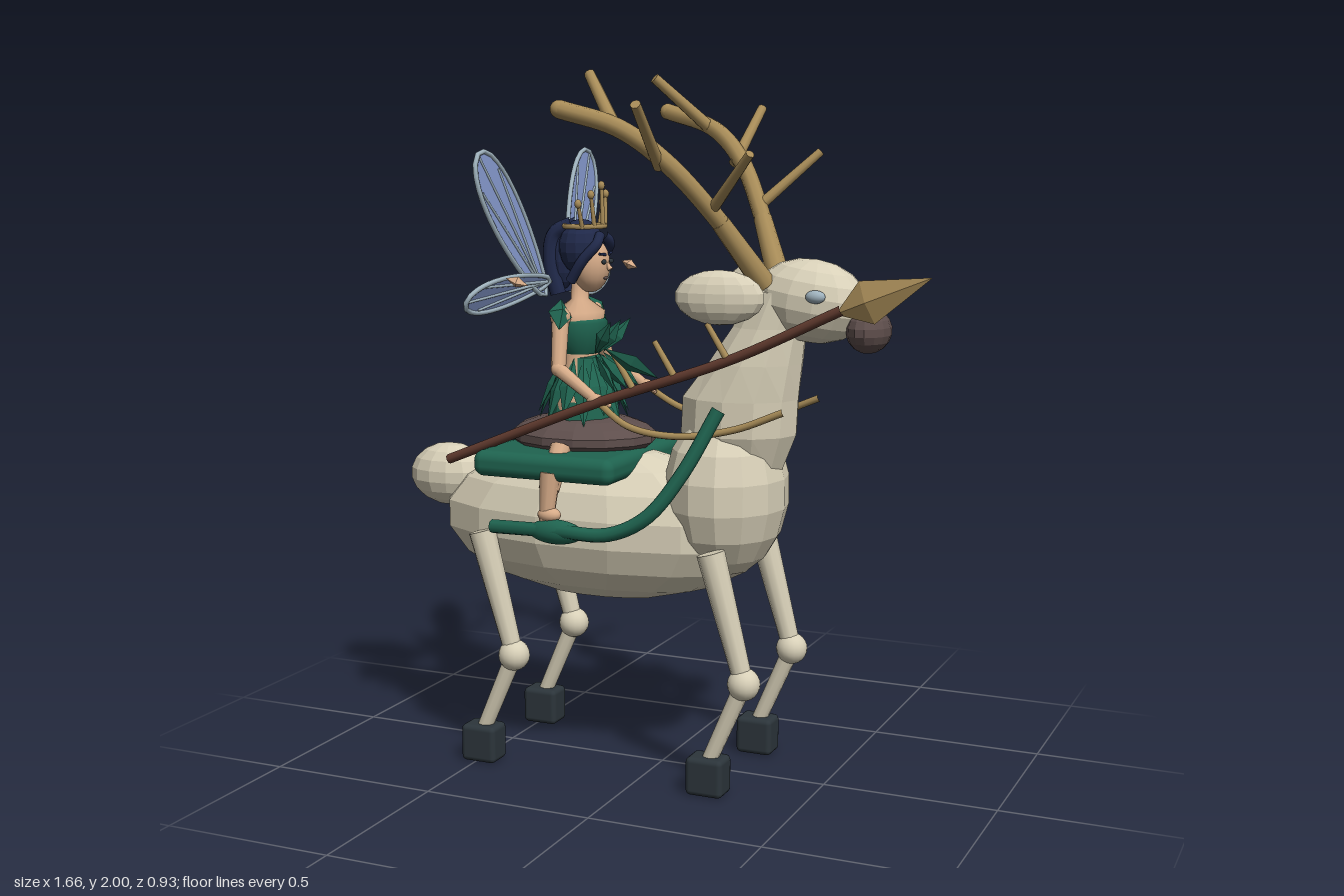
import * as THREE from 'three';
import { RoundedBoxGeometry } from 'three/addons/geometries/RoundedBoxGeometry.js';

const V = (x, y, z = 0) => new THREE.Vector3(x, y, z);
const mat = (name, color) => Object.assign(new THREE.MeshStandardMaterial({ color }), { name });

export function createModel() {
  const root = new THREE.Group();
  root.name = 'fairyOnStag';
  const cream = mat('creamFur', 0xd8d0b8), antler = mat('antlerGold', 0xa88c58);
  const brown = mat('spearWood', 0x603a2e), dusk = mat('duskBrown', 0x5e4e4c);
  const green = mat('leafGreen', 0x1f6450), hoof = mat('hoofSlate', 0x2c353b);
  const navy = mat('hairNavy', 0x20294a), skin = mat('skin', 0xd6ab88);
  const wing = mat('wingBlue', 0x8498cc), pale = mat('paleBlueGrey', 0x9fb2bd);
  wing.side = THREE.DoubleSide;

  const flat = (geo) => {
    const g = geo.index ? geo.toNonIndexed() : geo;
    g.computeVertexNormals();
    return g;
  };
  const add = (name, geo, m, pos = V(0, 0, 0), parent = root) => {
    const mesh = new THREE.Mesh(geo, m);
    mesh.name = name;
    mesh.position.copy(pos);
    parent.add(mesh);
    return mesh;
  };
  // Faceted or smooth ellipsoid
  const blob = (name, m, pos, r, faceted = true, parent = root) => {
    const g = new THREE.SphereGeometry(1, faceted ? 14 : 18, faceted ? 9 : 12).scale(...r);
    return add(name, faceted ? flat(g) : g, m, pos, parent);
  };
  // Straight round bar between two points
  const stick = (name, m, a, b, r1, r2 = r1, parent = root, sides = 10) => {
    const d = b.clone().sub(a);
    const mesh = add(name, new THREE.CylinderGeometry(r2, r1, d.length(), sides), m, a.clone().lerp(b, 0.5), parent);
    mesh.quaternion.setFromUnitVectors(V(0, 1, 0), d.normalize());
    return mesh;
  };
  // Flat pointed leaf between two points
  const leaf = (name, m, a, b, w, t = 0.008, parent = root) => {
    const d = b.clone().sub(a);
    const g = flat(new THREE.OctahedronGeometry(1).scale(w, d.length() / 2, t));
    const mesh = add(name, g, m, a.clone().lerp(b, 0.5), parent);
    mesh.quaternion.setFromUnitVectors(V(0, 1, 0), d.normalize());
    return mesh;
  };
  const tube = (name, m, pts, r, closed = false) =>
    add(name, new THREE.TubeGeometry(new THREE.CatmullRomCurve3(pts, closed), 32, r, 8, closed), m);
  const lathe = (pts, n) => new THREE.LatheGeometry(pts.map(([r, y]) => new THREE.Vector2(r, y)), n);

  // Stag trunk
  blob('body', cream, V(-0.19, 0.71), [0.52, 0.225, 0.22]);
  blob('chest', cream, V(0.2, 0.83), [0.175, 0.245, 0.2]);
  blob('tail', cream, V(-0.7, 0.81), [0.13, 0.095, 0.085]);

  // Neck: stacked rings leaning forward [y, centre x, radius x, radius z]
  const rings = [[0.86, 0.24, 0.01, 0.01], [0.9, 0.235, 0.13, 0.1], [1.0, 0.235, 0.17, 0.14], [1.1, 0.24, 0.17, 0.14],
    [1.2, 0.285, 0.135, 0.125], [1.3, 0.325, 0.105, 0.1], [1.4, 0.36, 0.09, 0.085], [1.43, 0.37, 0.01, 0.01]];
  const neck = lathe(rings.map((r) => [1, r[0]]), 12);
  const p = neck.attributes.position;
  for (let i = 0; i < p.count; i++) {
    const [, cx, rx, rz] = rings[i % rings.length];
    p.setX(i, cx + p.getX(i) * rx);
    p.setZ(i, p.getZ(i) * rz);
  }
  add('neck', flat(neck), cream);

  // Head
  blob('head', cream, V(0.445, 1.375), [0.165, 0.115, 0.105]).rotation.z = -0.15;
  blob('nose', dusk, V(0.61, 1.3), [0.06, 0.062, 0.09]);

  for (const s of [1, -1]) {
    const W = (x, y, z) => V(x, y, z * s);
    blob('stagEye', pale, W(0.49, 1.395, 0.1), [0.028, 0.018, 0.018], false);
    blob('stagEar', cream, W(0.24, 1.39, 0.165), [0.125, 0.075, 0.05]).rotation.y = s * 0.15;

    // Antler beam with three tines
    const beam = [W(0.33, 1.42, 0.06), W(0.24, 1.59, 0.16), W(0.13, 1.75, 0.27), W(0.02, 1.84, 0.33), W(-0.14, 1.89, 0.36)];
    tube('antlerBeam', antler, beam, 0.025);
    stick('antlerBase', antler, beam[0], beam[1], 0.033, 0.026);
    blob('antlerTip', antler, beam[4], [0.024, 0.024, 0.024], false);
    stick('antlerTine', antler, W(0.22, 1.62, 0.18), W(0.37, 1.775, 0.28), 0.016, 0.012);
    stick('antlerTine', antler, W(0.11, 1.74, 0.27), W(0.125, 1.9, 0.455), 0.017, 0.014);
    stick('antlerTine', antler, W(0.01, 1.84, 0.33), W(-0.12, 1.985, 0.215), 0.019, 0.015);

    // Legs
    for (const x of [-0.385, 0.33]) {
      const z = 0.195;
      stick('upperLeg', cream, W(x, 0.33, z), W(x - 0.1, 0.69, z), 0.027, 0.04);
      blob('knee', cream, W(x, 0.33, z), [0.046, 0.046, 0.046], false);
      stick('lowerLeg', cream, W(x - 0.105, 0.09, z), W(x, 0.33, z), 0.022, 0.025);
      add('hoof', new RoundedBoxGeometry(0.11, 0.11, 0.085, 2, 0.015), hoof, W(x - 0.105, 0.056, z));
    }

    // Harness, stirrup and rein
    tube('harness', green, [W(-0.42, 0.72, 0.25), W(-0.2, 0.73, 0.275), W(-0.04, 0.735, 0.28), W(0.07, 0.79, 0.27),
      W(0.16, 0.91, 0.235), W(0.245, 1.085, 0.18)], 0.02);
    blob('stirrup', green, W(-0.21, 0.725, 0.265), [0.085, 0.035, 0.03], false);
    tube('rein', antler, [W(-0.13, 1.09, 0.17), W(-0.02, 1.025, 0.19), W(0.12, 1.005, 0.18), W(0.28, 1.03, 0.16),
      W(0.42, 1.085, 0.15)], 0.01);

    // Rider limbs
    stick('riderLeg', skin, W(-0.24, 0.95, 0.17), W(-0.24, 0.84, 0.245), 0.03);
    stick('riderShin', skin, W(-0.235, 0.89, 0.245), W(-0.245, 0.74, 0.255), 0.03, 0.02);
    blob('riderAnkle', skin, W(-0.235, 0.77, 0.255), [0.035, 0.022, 0.025], false);
    const shoulder = W(-0.27, 1.31, 0.105), elbow = W(-0.25, 1.17, 0.16), hand = W(-0.13, 1.09, 0.17);
    blob('shoulder', skin, shoulder, [0.03, 0.03, 0.03], false);
    stick('upperArm', skin, shoulder, elbow, 0.025, 0.021);
    blob('elbow', skin, elbow, [0.022, 0.022, 0.022], false);
    stick('forearm', skin, elbow, hand, 0.021, 0.015);
    blob('hand', skin, hand, [0.027, 0.018, 0.018], false);
    for (const i of [-1, 0, 1]) stick('finger', skin, hand, W(-0.09, 1.085 + i * 0.012, 0.165 + i * 0.012), 0.006);
    leaf('sleeveLeaf', green, W(-0.28, 1.36, 0.08), W(-0.25, 1.28, 0.155), 0.035, 0.025);
    leaf('earTip', skin, W(-0.24, 1.42, 0.355), W(-0.3, 1.44, 0.37), 0.016, 0.016);
    blob('riderEye', hoof, W(-0.171, 1.465, 0.024), [0.005, 0.007, 0.013], false);
    stick('eyebrow', navy, W(-0.172, 1.485, 0.012), W(-0.178, 1.488, 0.038), 0.004);

    // Wings: oval membrane with rim and veins
    const wings = [[W(-0.33, 1.37, 0.08), W(-0.395, 1.77, 0.345), W(-0.05, 0.55, -0.83), 0.1],
      [W(-0.32, 1.41, 0.07), W(-0.385, 1.375, 0.44), W(0.42, 0.9, 0.1), 0.06]];
    for (const [a, b, side, half] of wings) {
      const at = (u, v) => a.clone().lerp(b, u).addScaledVector(side, v * half);
      const rim = [];
      for (let i = 0; i < 24; i++) {
        const t = (i / 24) * Math.PI * 2, u = 0.5 - 0.5 * Math.cos(t);
        rim.push(at(u, Math.sin(t) * (0.55 + 0.5 * u)));
      }
      const pos = [];
      rim.forEach((q, i) => pos.push(at(0.5, 0), q, rim[(i + 1) % 24]));
      const g = new THREE.BufferGeometry().setFromPoints(pos);
      g.computeVertexNormals();
      add('wingMembrane', g, wing);
      tube('wingRim', pale, rim, 0.007, true);
      for (const v of [-0.6, 0, 0.6]) stick('wingVein', pale, at(0.04, 0), at(v ? 0.82 : 0.98, v), 0.005, 0.004);
    }
  }

  // Saddle
  add('saddle', new RoundedBoxGeometry(0.44, 0.075, 0.53, 3, 0.03), green, V(-0.26, 0.9));
  blob('cushion', dusk, V(-0.25, 0.96), [0.22, 0.065, 0.18]);

  // Rider torso, neck and dress
  const torso = add('torso', lathe([[0.07, 1.0], [0.075, 1.08], [0.05, 1.19], [0.062, 1.27], [0.07, 1.32], [0.025, 1.355],
    [0.023, 1.42]], 16), skin, V(-0.26, 0, 0));
  torso.scale.z = 1.25;
  const bodice = add('bodice', lathe([[0.054, 1.2], [0.072, 1.24], [0.076, 1.29], [0.066, 1.3]], 16), green, V(-0.257, 0, 0));
  bodice.scale.z = 1.2;
  add('skirtCore', flat(lathe([[0.1, 1.0], [0.085, 1.1], [0.06, 1.19], [0.01, 1.2]], 12)), green, V(-0.25, 0, 0));
  for (let i = 0; i < 14; i++) {
    const g = new THREE.Group();
    g.name = 'skirtLeaf';
    g.position.set(-0.25, 0, 0);
    g.rotation.y = (i / 14) * Math.PI * 2;
    root.add(g);
    leaf('leafStrip', green, V(0, 1.19, 0.06), V(0, i % 2 ? 1.0 : 1.03, 0.135), 0.03, 0.01, g);
  }
  for (const z of [-0.045, 0, 0.045]) {
    leaf('bodiceLeaf', green, V(-0.2, 1.2, z * 0.6), V(-0.13, 1.3, z * 1.5), 0.022, 0.014);
    leaf('waistLeaf', green, V(-0.2, 1.2, z * 0.6), V(-0.11, 1.1, z * 1.8), 0.024, 0.014);
  }

  // Rider head, hair and crown
  blob('riderHead', skin, V(-0.225, 1.455), [0.056, 0.08, 0.058], false);
  stick('riderNose', skin, V(-0.175, 1.46), V(-0.162, 1.442), 0.006, 0.008);
  blob('lips', dusk, V(-0.178, 1.418), [0.006, 0.005, 0.014], false);
  blob('hairCap', navy, V(-0.255, 1.505), [0.066, 0.08, 0.07]);
  for (const s of [1, -1]) {
    tube('sideLock', navy, [V(-0.19, 1.54, 0.01 * s), V(-0.185, 1.515, 0.045 * s), V(-0.22, 1.47, 0.064 * s),
      V(-0.26, 1.41, 0.06 * s)], 0.015);
    tube('backLock', navy, [V(-0.27, 1.57, 0.02 * s), V(-0.325, 1.54, 0.03 * s), V(-0.335, 1.45, 0.035 * s),
      V(-0.315, 1.37, 0.03 * s)], 0.024);
  }
  blob('ponytail', navy, V(-0.315, 1.48), [0.04, 0.1, 0.045]);
  add('crownBand', new THREE.TorusGeometry(0.06, 0.008, 6, 20).rotateX(Math.PI / 2), antler, V(-0.245, 1.565));
  for (let i = -2; i <= 2; i++) {
    const a = i * 0.6, h = 1.68 - Math.abs(i) * 0.025;
    const foot = V(-0.245 + 0.06 * Math.cos(a), 1.56, 0.06 * Math.sin(a));
    const tip = V(-0.245 + 0.055 * Math.cos(a), h, 0.085 * Math.sin(a));
    stick('crownSpike', antler, foot, tip, 0.007, 0.005);
    blob('crownBead', antler, tip, [0.01, 0.013, 0.01], false);
  }

  // Spear with point, twigs and a leaf
  const z = 0.18;
  tube('spearShaft', brown, [V(-0.6, 0.89, z), V(-0.13, 1.08, z), V(0.28, 1.225, z), V(0.59, 1.37, z)], 0.014);
  const head = add('spearHead', flat(lathe([[0.001, 0], [0.06, 0.09], [0.001, 0.275]], 4).scale(1, 1, 0.35)), antler, V(0.575, 1.36, z));
  head.rotation.z = -1.19;
  for (const [x, y] of [[-0.01, 1.13], [0.115, 1.17], [0.27, 1.225]])
    stick('spearTwig', antler, V(x, y, z), V(x - 0.06, y + 0.095, z), 0.01, 0.008);
  leaf('spearLeaf', green, V(0.07, 1.165, 0.19), V(-0.055, 1.25, 0.27), 0.028, 0.012);

  return root;
}
